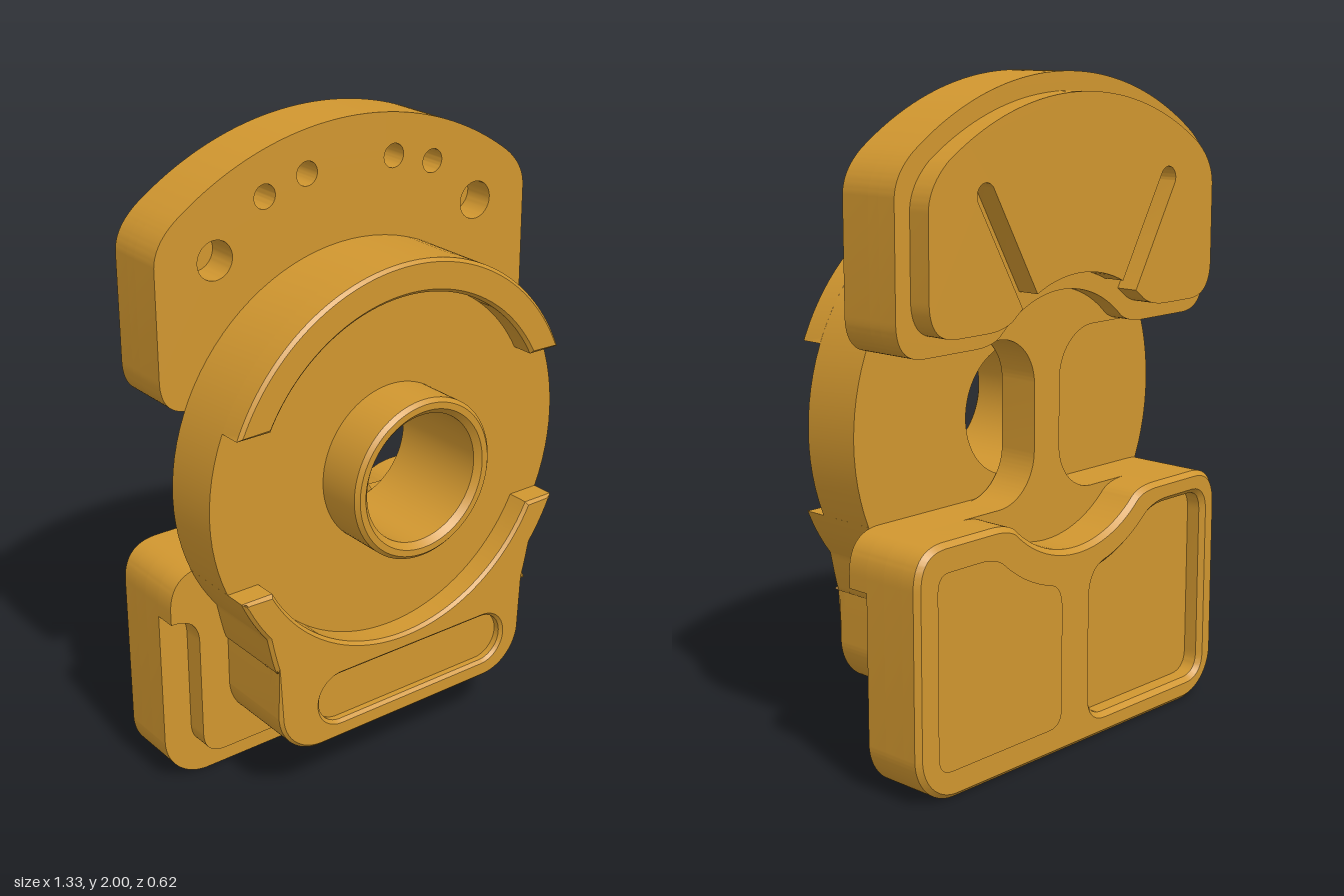
import * as THREE from 'three';
import { toCreasedNormals } from 'three/addons/utils/BufferGeometryUtils.js';

const CENTRE_Y = 1; // outlines are drawn around the hub axis
const { PI } = Math;

// Mirrors a right-half path into a closed outline; sy = -1 flips it below the axis.
function sym(path, sy = 1) {
  const right = path.getPoints(20).map(p => new THREE.Vector2(p.x, p.y * sy));
  const left = right.filter(p => p.x > 1e-6).reverse().map(p => new THREE.Vector2(-p.x, p.y));
  return new THREE.Shape([...right, ...left]);
}

function circle(x, y, r) {
  return new THREE.Path().absarc(x, y, r, 0, PI * 2, false);
}

// Starts a half path with the concave cut around the axis, or a straight edge at y = b.
function startEdge(b, cut, groove = false) {
  const p = new THREE.Path();
  if (!cut) return p.moveTo(0, b);
  const a = Math.asin(b / cut), x = cut * Math.cos(a);
  if (groove) {
    const t = PI / 3, w = 0.035, d = Math.asin(w / cut), r = 0.785;
    p.absarc(0, 0, cut, PI / 2, t + d, true);
    p.absarc(r * Math.cos(t), r * Math.sin(t), w, t + PI / 2, t - PI / 2, true);
    p.absarc(0, 0, cut, t - d, a + 0.12, true);
  } else p.absarc(0, 0, cut, PI / 2, a + 0.12, true);
  p.quadraticCurveTo(x, b, x + 0.08, b);
  return p;
}

// Fan-shaped upper weight
function upperOutline(inset, cut, groove) {
  const w = 0.665 - inset, b = 0.25 + inset, R = 1 - inset, ax = w - 0.075;
  const a = Math.acos(ax / R);
  const p = startEdge(b, cut, groove);
  p.lineTo(w - 0.105, b);
  p.quadraticCurveTo(w, b, w, b + 0.11);
  p.lineTo(w, 0.68 - inset * 0.6);
  p.quadraticCurveTo(w, 0.75 - inset * 0.6, ax, R * Math.sin(a));
  p.absarc(0, 0, R, a, PI / 2, false);
  return sym(p);
}

// Box-shaped lower weight
function lowerOutline(cut) {
  const p = startEdge(0.25, cut);
  p.lineTo(0.55, 0.25);
  p.quadraticCurveTo(0.665, 0.25, 0.665, 0.37);
  p.lineTo(0.665, 0.85);
  p.absarc(0.515, 0.85, 0.15, 0, PI / 2, false);
  p.lineTo(0, 1);
  return sym(p, -1);
}

function lowerStepOutline() {
  const p = startEdge(0.25, 0);
  p.lineTo(0.55, 0.25);
  p.quadraticCurveTo(0.665, 0.25, 0.665, 0.37);
  p.lineTo(0.665, 0.41);
  p.quadraticCurveTo(0.57, 0.41, 0.57, 0.5);
  p.lineTo(0.57, 0.82);
  p.quadraticCurveTo(0.57, 0.9, 0.49, 0.9);
  p.lineTo(0, 0.9);
  return sym(p, -1);
}

// Rear pocket of the lower weight, on side s
function pocket(s) {
  const p = new THREE.Path().moveTo(0.06, 0.55);
  p.quadraticCurveTo(0.06, 0.47, 0.12, 0.454);
  p.absarc(0, 0, 0.47, 1.312, 0.85, true);
  p.quadraticCurveTo(0.35, 0.32, 0.42, 0.32);
  p.lineTo(0.54, 0.32);
  p.quadraticCurveTo(0.6, 0.32, 0.6, 0.39);
  p.lineTo(0.6, 0.86);
  p.quadraticCurveTo(0.6, 0.93, 0.53, 0.93);
  p.lineTo(0.13, 0.93);
  p.quadraticCurveTo(0.06, 0.93, 0.06, 0.86);
  return new THREE.Path(p.getPoints(12).map(v => new THREE.Vector2(v.x * s, -v.y)));
}

// Front housing below the disk, with a curved lip
function housingOutline() {
  const p = new THREE.Path();
  p.absarc(0, 0, 0.545, PI / 2, Math.asin(0.25 / 0.545), true);
  p.absarc(0, 0, 0.64, Math.asin(0.25 / 0.64), 0.66, false);
  p.quadraticCurveTo(0.47, 0.565, 0.47, 0.5);
  p.lineTo(0.47, 0.67);
  p.absarc(0.32, 0.67, 0.15, 0, PI / 2, false);
  p.lineTo(0, 0.82);
  return sym(p, -1);
}

function rimOutline() {
  const p = new THREE.Path();
  p.absarc(0, 0, 0.54, PI / 2, Math.asin(0.25 / 0.54), true);
  p.absarc(0, 0, 0.64, Math.asin(0.25 / 0.64), PI / 2, false);
  return sym(p);
}

// Narrow web with flared ends
function strutOutline() {
  const p = new THREE.Path().moveTo(0, 0.3);
  p.lineTo(0.205, 0.3);
  p.absarc(0.205, 0.1, 0.15, PI / 2, PI, false);
  p.absarc(0.205, -0.1, 0.15, PI, PI * 1.5, false);
  p.lineTo(0.205, -0.3);
  p.lineTo(0, -0.3);
  return sym(p);
}

export function createModel() {
  const model = new THREE.Group();
  model.name = 'bearingBracket';
  const brass = new THREE.MeshStandardMaterial({ color: 0xd0962f });
  brass.name = 'brass';

  function add(name, geometry) {
    const mesh = new THREE.Mesh(toCreasedNormals(geometry, 0.5), brass);
    mesh.name = name;
    mesh.position.y = CENTRE_Y;
    model.add(mesh);
  }

  // Extrudes an outline between two depths, optionally with chamfered edges.
  function slab(name, shape, z0, z1, chamfer = 0, holes = []) {
    shape.holes.push(...holes);
    const g = new THREE.ExtrudeGeometry(shape, {
      depth: z1 - z0 - 2 * chamfer, curveSegments: 24, bevelEnabled: chamfer > 0,
      bevelThickness: chamfer, bevelSize: chamfer, bevelOffset: -chamfer, bevelSegments: 1,
    });
    g.translate(0, 0, z0 + chamfer);
    add(name, g);
  }

  // Disk and hub tube
  const profile = [[0.2, -0.04], [0.64, -0.04], [0.64, 0.15], [0.25, 0.15], [0.25, 0.298],
    [0.238, 0.31], [0.218, 0.31], [0.2, 0.292], [0.2, -0.04]].map(p => new THREE.Vector2(...p));
  add('diskAndHub', new THREE.LatheGeometry(profile, 96).rotateX(PI / 2));

  // Raised upper rim
  slab('upperRim', rimOutline(), 0.14, 0.23, 0.01);

  // Front housing with a shallow slot
  const slot = new THREE.Path();
  slot.absarc(0.31, -0.68, 0.08, -PI / 2, PI / 2, false);
  slot.absarc(-0.245, -0.68, 0.08, PI / 2, PI * 1.5, false);
  slab('frontHousing', housingOutline(), -0.04, 0.2);
  slab('frontHousingFace', housingOutline(), 0.17, 0.23, 0.01, [slot]);

  // Upper weight: drilled front, solid core, cut-away back and grooved back plate
  const holes = [];
  for (const s of [-1, 1]) {
    holes.push(circle(s * 0.47, 0.67, 0.058), circle(s * 0.3, 0.82, 0.036), circle(s * 0.155, 0.86, 0.036));
  }
  slab('upperWeightFront', upperOutline(0, 0), -0.14, -0.04, 0, holes);
  slab('upperWeightCore', upperOutline(0, 0), -0.18, -0.14);
  slab('upperWeightBack', upperOutline(0, 0.38), -0.24, -0.18);
  slab('upperBackPlate', upperOutline(0.055, 0.435, true), -0.31, -0.24);

  // Lower weight: stepped front, solid core, cut-away back and pocketed rear
  slab('lowerWeightStep', lowerStepOutline(), -0.11, -0.04);
  slab('lowerWeightCore', lowerOutline(0), -0.18, -0.11);
  slab('lowerWeightBack', lowerOutline(0.38), -0.25, -0.18);
  slab('lowerWeightPockets', lowerOutline(0.38), -0.31, -0.22, 0.015, [pocket(1), pocket(-1)]);

  // Web joining the two weights behind the hub
  slab('strut', strutOutline(), -0.18, -0.05);

  return model;
}
